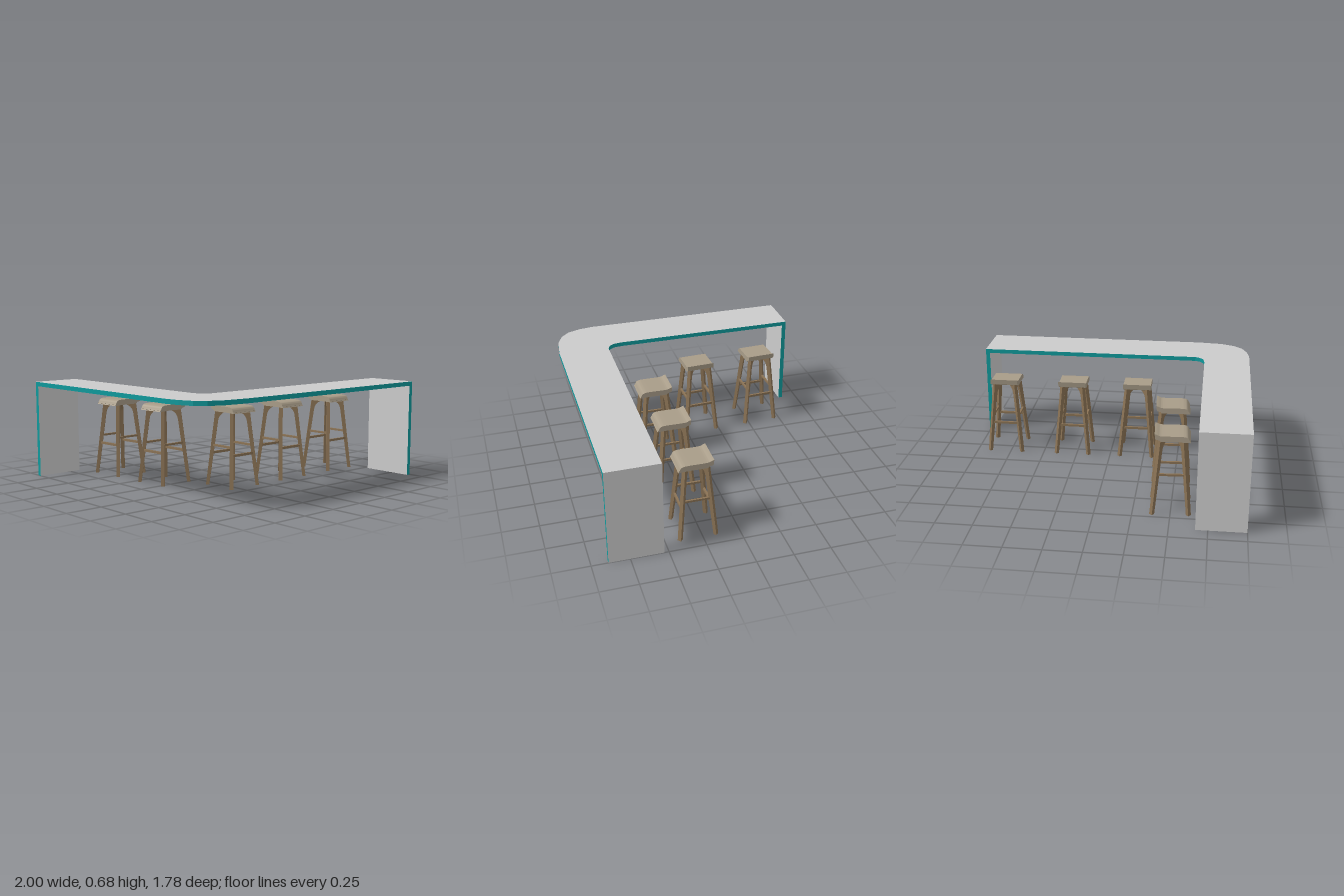
import * as THREE from 'three';
import { toCreasedNormals } from 'three/addons/utils/BufferGeometryUtils.js';

const grey = new THREE.MeshStandardMaterial({ color: 0xcccccc });
const teal = new THREE.MeshStandardMaterial({ color: 0x0f9a9c });
const wood = new THREE.MeshStandardMaterial({ color: 0x8b7355 });
const seatWood = new THREE.MeshStandardMaterial({ color: 0xa89c88 });

const TOP = 0.675, T = 0.03;

function add(parent, name, geometry, material, x = 0, y = 0, z = 0) {
  const mesh = new THREE.Mesh(geometry, material);
  mesh.name = name;
  mesh.position.set(x, y, z);
  parent.add(mesh);
  return mesh;
}

// L-shaped counter with a rounded corner and two end panels reaching the floor
function createCounter() {
  const counter = new THREE.Group();
  counter.name = 'counter';
  const outline = [
    [-1, -0.89 + T], [-1, 0.58], [-0.985, 0.68], [-0.95, 0.77], [-0.89, 0.83], [-0.79, 0.872], [-0.62, 0.89],
    [1 - T, 0.89], [1 - T, 0.53], [-0.6, 0.53], [-0.635, 0.515], [-0.662, 0.48], [-0.67, 0.42], [-0.67, -0.89 + T],
  ];
  const shape = new THREE.Shape(outline.map(([x, z]) => new THREE.Vector2(x, -z)));
  const slab = new THREE.ExtrudeGeometry(shape, { depth: T, bevelEnabled: false });
  slab.rotateX(-Math.PI / 2);
  add(counter, 'counterTop', slab, [grey, teal], 0, TOP - T, 0);

  // box faces run +x, -x, +y, -y, +z, -z; only the narrow edges are coloured
  add(counter, 'rightEndPanel', new THREE.BoxGeometry(T, TOP, 0.36),
    [grey, grey, grey, grey, teal, teal], 1 - T / 2, TOP / 2, 0.71);
  add(counter, 'backEndPanel', new THREE.BoxGeometry(0.33, TOP, T),
    [teal, teal, grey, grey, grey, grey], -0.835, TOP / 2, -0.89 + T / 2);
  return counter;
}

// Seat sheet: front edge rolls down, back edge curls up
function seatGeometry() {
  const line = [[0.11, 0.524], [0.104, 0.535], [0.088, 0.544], [0.06, 0.547], [-0.055, 0.547],
    [-0.08, 0.549], [-0.095, 0.556], [-0.112, 0.562]];
  const curve = new THREE.CatmullRomCurve3(line.map(([z, y]) => new THREE.Vector3(z, y, 0)));
  const upper = [], lower = [];
  for (let i = 0; i <= 24; i++) {
    const p = curve.getPoint(i / 24), t = curve.getTangent(i / 24);
    upper.push(new THREE.Vector2(p.x, p.y));
    lower.unshift(new THREE.Vector2(p.x + t.y * 0.013, p.y - t.x * -0.013 - 0.026 * Math.abs(t.x)));
  }
  const geometry = new THREE.ExtrudeGeometry(new THREE.Shape([...upper, ...lower]),
    { depth: 0.2, bevelEnabled: false });
  geometry.translate(0, 0, -0.1).rotateY(-Math.PI / 2);
  return toCreasedNormals(geometry, 0.6);
}

// A pair of splayed, tapering legs joined by an arch under the seat
function archGeometry() {
  const s = new THREE.Shape();
  s.moveTo(-0.181, 0);
  s.lineTo(-0.159, 0);
  s.lineTo(-0.098, 0.44);
  s.bezierCurveTo(-0.09, 0.49, -0.055, 0.508, 0, 0.508);
  s.bezierCurveTo(0.055, 0.508, 0.09, 0.49, 0.098, 0.44);
  s.lineTo(0.159, 0);
  s.lineTo(0.181, 0);
  s.lineTo(0.114, 0.536);
  s.lineTo(-0.114, 0.536);
  s.closePath();
  const geometry = new THREE.ExtrudeGeometry(s, { depth: 0.025, bevelEnabled: false, curveSegments: 8 });
  geometry.translate(0, 0, -0.0125);
  return toCreasedNormals(geometry, 0.6);
}

const seat = seatGeometry();
const arch = archGeometry();
const lowBar = new THREE.BoxGeometry(0.2, 0.016, 0.014);
const highBar = new THREE.BoxGeometry(0.014, 0.014, 0.19);

function createStool(x, z, angle) {
  const stool = new THREE.Group();
  stool.name = 'stool';
  add(stool, 'seat', seat, seatWood);
  // two leg arches cross on the diagonals
  for (const side of [-1, 1]) {
    add(stool, 'legArch', arch, wood).rotation.y = side * Math.PI / 4;
    add(stool, 'footRail', lowBar, wood, 0, 0.222, side * 0.1);
    add(stool, 'sideRail', highBar, wood, side * 0.095, 0.276, 0);
  }
  stool.position.set(x, 0, z);
  stool.rotation.y = angle;
  return stool;
}

export function createModel() {
  const model = new THREE.Group();
  model.name = 'barCounterWithStools';
  model.add(createCounter());
  const turned = -Math.PI / 2 + 0.05;
  const stools = [
    [-0.193, 0.293, 0], [0.281, 0.287, 0], [0.785, 0.281, 0],
    [-0.471, -0.104, turned], [-0.494, -0.585, turned],
  ];
  for (const [x, z, angle] of stools) model.add(createStool(x, z, angle));
  return model;
}
